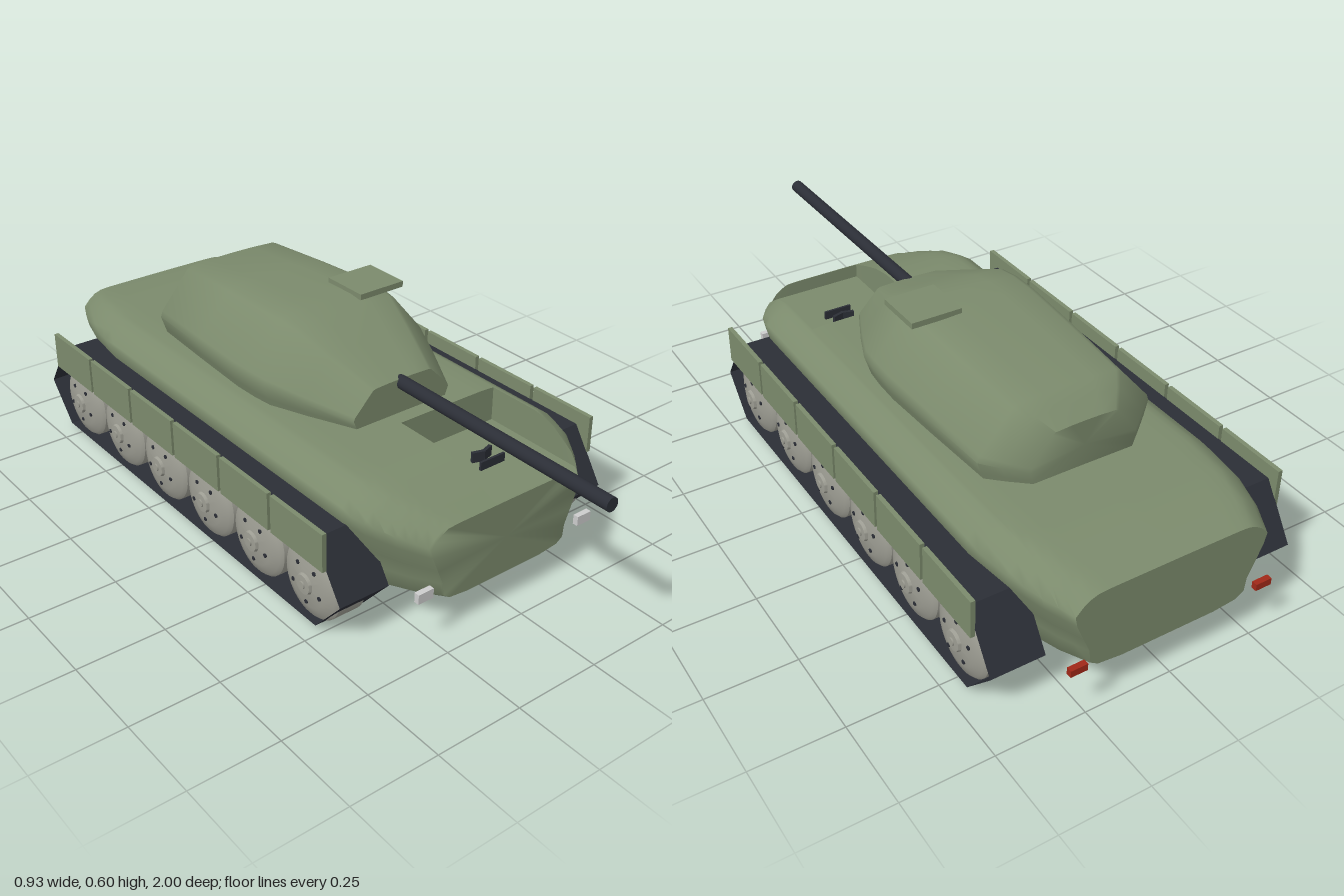
import * as THREE from 'three';
import { toCreasedNormals } from 'three/addons/utils/BufferGeometryUtils.js';

const mat = (color, side = THREE.FrontSide) => new THREE.MeshStandardMaterial({ color, side });
const green = mat(0x7b8a6c);
const dark = mat(0x2b2e36);
const belt = mat(0x2b2e36, THREE.DoubleSide);
belt.flatShading = true;
const steel = mat(0x9c9c92);
const white = mat(0xe6e6e6);
const red = mat(0xa02818);

function add(parent, name, geometry, material, x = 0, y = 0, z = 0) {
  const mesh = new THREE.Mesh(geometry, material);
  mesh.name = name;
  mesh.position.set(x, y, z);
  parent.add(mesh);
  return mesh;
}

// Box given by its limits on each axis
function block(parent, name, material, [x0, x1], [y0, y1], [z0, z1]) {
  return add(parent, name, new THREE.BoxGeometry(x1 - x0, y1 - y0, z1 - z0), material,
    (x0 + x1) / 2, (y0 + y1) / 2, (z0 + z1) / 2);
}

// Linear lookup in a table of [key, value...] rows with falling keys
function lookup(table, key, column = 1) {
  for (let i = 1; i < table.length; i++) {
    const a = table[i - 1], b = table[i];
    if (key >= b[0] || i === table.length - 1) {
      const t = THREE.MathUtils.clamp((a[0] - key) / (a[0] - b[0]), 0, 1);
      return a[column] + (b[column] - a[column]) * t;
    }
  }
}

// Closed skin over rings ordered front to back, each counterclockwise from the front
function loft(rings, crease) {
  const n = rings[0].length, position = [], index = [];
  rings.forEach(ring => ring.forEach(p => position.push(...p)));
  for (let r = 0; r < rings.length - 1; r++) {
    for (let i = 0; i < n; i++) {
      const a = r * n + i, b = r * n + (i + 1) % n;
      index.push(a, a + n, b, b, a + n, b + n);
    }
  }
  const last = (rings.length - 1) * n, centre = rings.length * n;
  for (const ring of [rings[0], rings[rings.length - 1]]) {
    const ys = ring.map(p => p[1]);
    position.push(0, (Math.min(...ys) + Math.max(...ys)) / 2, ring[0][2]);
  }
  for (let i = 0; i < n; i++) {
    const j = (i + 1) % n;
    index.push(centre, i, j, centre + 1, last + j, last + i);
  }
  const g = new THREE.BufferGeometry();
  g.setAttribute('position', new THREE.Float32BufferAttribute(position, 3));
  g.setIndex(index);
  return toCreasedNormals(g, crease);
}

// Hull: width factor, bottom and top along z, with a recess sunk into the front deck
function hullGeometry() {
  const along = [[0.68, 0.69, 0.09, 0.31], [0.61, 0.84, 0.081, 0.338], [0.54, 0.95, 0.074, 0.362],
    [0.47, 1, 0.07, 0.374], [-0.65, 1, 0.07, 0.375], [-0.8, 0.95, 0.08, 0.374],
    [-0.9, 0.87, 0.096, 0.362], [-0.98, 0.77, 0.112, 0.345]];
  const side = [[0.18, 0.07], [0.27, 0.08], [0.3, 0.1], [0.305, 0.15], [0.33, 0.21],
    [0.357, 0.275], [0.365, 0.315]];
  const deck = [[0.365, 0.315], [0.345, 0.34], [0.3, 0.37], [0.25, 0.374], [0, 0.375]];
  const columns = [0.291, 0.29, -0.039, -0.04];
  for (let i = -18; i <= 18; i++) if (i !== -2) columns.push(i * 0.02);
  columns.sort((a, b) => b - a);
  const stations = [0.68, 0.675, 0.674, 0.65, 0.63, 0.61, 0.585, 0.56, 0.54, 0.5, 0.47, 0.4, 0.311, 0.31,
    0.1, -0.3, -0.65, -0.7, -0.75, -0.8, -0.85, -0.9, -0.94, -0.98];
  const rings = stations.map(z => {
    const k = lookup(along, z, 1), low = lookup(along, z, 2), high = lookup(along, z, 3);
    const height = y => low + (y - 0.07) / 0.305 * (high - low);
    const right = side.map(([x, y]) => [x * k, height(y), z]);
    const left = right.map(([x, y]) => [-x, y, z]).reverse();
    const top = columns.map(c => {
      const x = THREE.MathUtils.clamp(c, -0.365 * k, 0.365 * k);
      let y = height(lookup(deck, Math.abs(x) / k));
      if (c <= 0.29 && c >= -0.039 && z < 0.6745 && z > 0.3105) y = Math.min(y, 0.27);
      return [x, y, z];
    });
    return [...right, ...top, ...left];
  });
  return loft(rings, 1.0);
}

// Turret: width factor and roof height along z
function turretGeometry() {
  const along = [[0.265, 0.57, 0.475], [0.13, 0.8, 0.535], [0.02, 0.965, 0.583], [-0.04, 0.99, 0.59],
    [-0.12, 1, 0.589], [-0.3, 0.965, 0.58], [-0.53, 0.91, 0.565], [-0.57, 0.75, 0.54], [-0.612, 0.56, 0.51]];
  const half = [[0.262, 0.365], [0.272, 0.395], [0.285, 0.435], [0.278, 0.455], [0.175, 0.578],
    [0.16, 0.585], [0.08, 0.589]];
  const rings = along.map(([z, k, high]) => {
    const right = half.map(([x, y]) => [x * k, 0.365 + (y - 0.365) / 0.225 * (high - 0.365), z]);
    return [...right, [0, high, z], ...right.map(([x, y]) => [-x, y, z]).reverse()];
  });
  return loft(rings, 0.9);
}

// Open hexagonal track band, extruded across x
function trackGeometry() {
  const loop = [[0.58, 0.125], [0.48, 0.275], [-0.8, 0.275], [-0.9, 0.125], [-0.8, 0.012], [0.48, 0.012]];
  const position = [], index = [];
  for (const [z, y] of loop) position.push(-0.0765, y, z, 0.0765, y, z);
  for (let i = 0; i < 6; i++) {
    const a = i * 2, b = ((i + 1) % 6) * 2;
    index.push(a, a + 1, b, b, a + 1, b + 1);
  }
  const g = new THREE.BufferGeometry();
  g.setAttribute('position', new THREE.Float32BufferAttribute(position, 3));
  g.setIndex(index);
  const flat = g.toNonIndexed();
  flat.computeVertexNormals();
  return flat;
}

// Domed road wheel with a raised hub, axis along y
const wheelProfile = [[0, -0.05], [0.098, -0.05], [0.11, -0.04], [0.11, 0.04], [0.1, 0.05],
  [0.07, 0.06], [0.03, 0.066], [0.027, 0.074], [0.012, 0.075], [0, 0.075]];

function wheel(geometry) {
  const g = new THREE.Group();
  g.name = 'roadWheel';
  add(g, 'wheelDisc', geometry, steel);
  const bolt = new THREE.CylinderGeometry(0.006, 0.006, 0.01, 8);
  for (let i = 0; i < 5; i++) {
    const a = i / 5 * Math.PI * 2;
    add(g, 'wheelBolt', bolt, dark, -Math.cos(a) * 0.057, 0.06, Math.sin(a) * 0.057);
  }
  add(g, 'hubCap', new THREE.CylinderGeometry(0.011, 0.011, 0.006, 16), steel, 0, 0.076, 0);
  return g;
}

export function createModel() {
  const model = new THREE.Group();
  model.name = 'tank';
  add(model, 'hull', hullGeometry(), green);

  // Turret, gun and roof hatch
  const turret = new THREE.Group();
  turret.name = 'turret';
  model.add(turret);
  add(turret, 'turretShell', turretGeometry(), green);
  block(turret, 'roofHatch', green, [0.065, 0.215], [0.585, 0.602], [-0.14, 0.005]);
  const gun = add(turret, 'gunBarrel', new THREE.CylinderGeometry(0.019, 0.019, 0.78, 24), dark, 0, 0.462, 0.61);
  gun.rotation.x = Math.PI / 2;

  // Controls in the driver's recess
  block(model, 'controlBar', dark, [0.08, 0.165], [0.27, 0.295], [0.487, 0.494]);
  for (const s of [-1, 1]) {
    const lever = block(model, 'controlLever', dark, [-0.018, 0.018], [0.27, 0.3], [-0.005, 0.005]);
    lever.position.x = 0.123 + s * 0.016;
    lever.position.z = 0.452;
    lever.rotation.y = s * 0.3;
  }

  // Running gear, skirts and lamps on both sides
  const wheelGeo = toCreasedNormals(
    new THREE.LatheGeometry(wheelProfile.map(([x, y]) => new THREE.Vector2(x, y)), 40), 0.6);
  const trackGeo = trackGeometry();
  for (const s of [1, -1]) {
    const gear = new THREE.Group();
    gear.name = s > 0 ? 'leftRunningGear' : 'rightRunningGear';
    model.add(gear);
    add(gear, 'track', trackGeo, belt, s * 0.3755, 0, 0);
    for (let i = 0; i < 6; i++) {
      const w = wheel(wheelGeo);
      w.position.set(s * 0.38, 0.11, 0.43 - i * 0.233);
      w.rotation.z = -s * Math.PI / 2;
      gear.add(w);
      add(gear, 'skirtPanel', new THREE.BoxGeometry(0.013, 0.11, 0.216), green, s * 0.457, 0.26, 0.418 - i * 0.2282);
    }
    add(model, 'headlight', new THREE.BoxGeometry(0.048, 0.028, 0.016), white, s * 0.274, 0.146, 0.683);
    add(model, 'tailLight', new THREE.BoxGeometry(0.048, 0.02, 0.016), red, s * 0.276, 0.15, -0.992);
  }
  return model;
}
